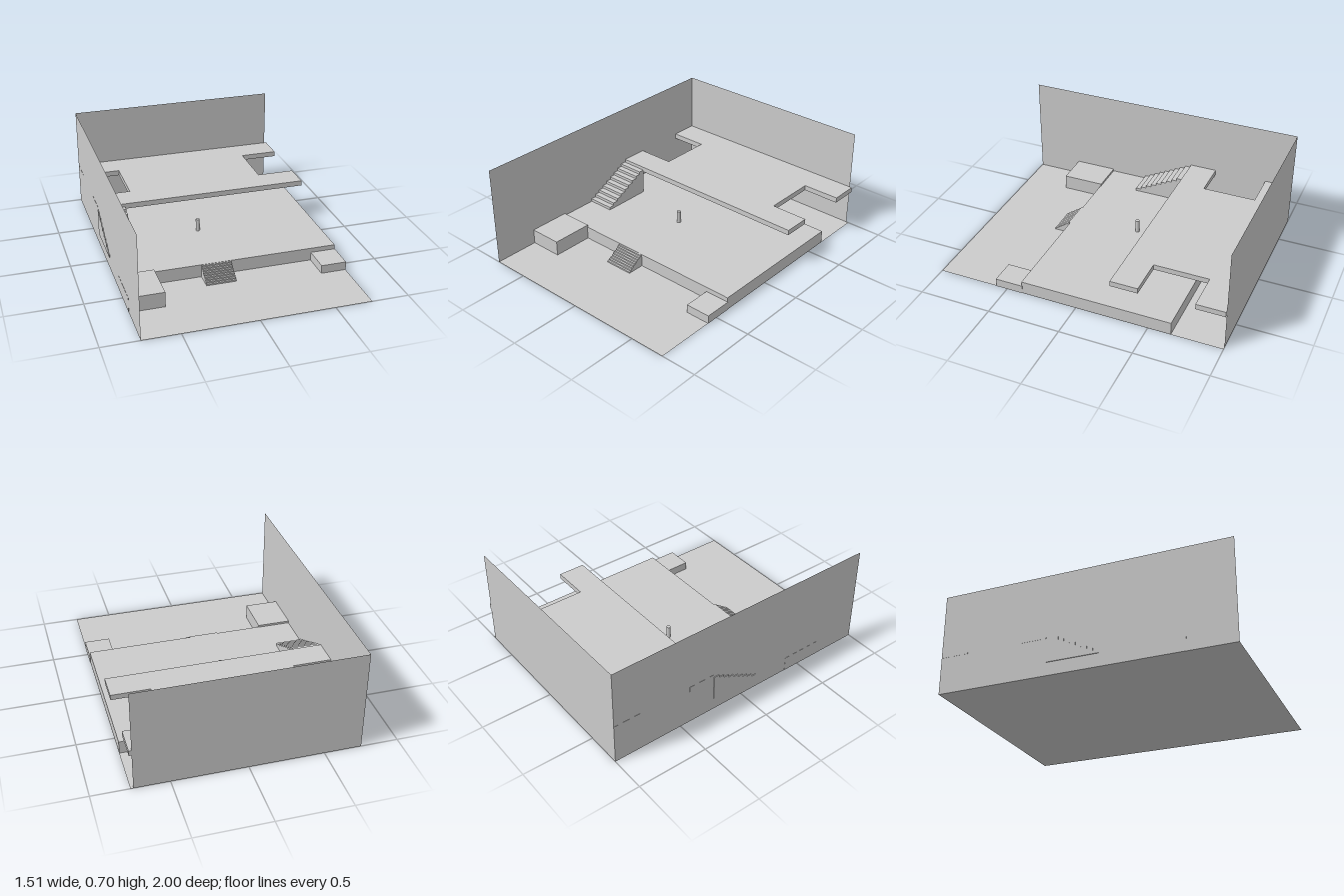
import * as THREE from 'three';

const material = new THREE.MeshStandardMaterial({ color: 0xcccccc, flatShading: true });
const sheetMaterial = new THREE.MeshStandardMaterial({ color: 0xcccccc, side: THREE.DoubleSide });

function add(group, name, geometry, mat = material) {
  const mesh = new THREE.Mesh(geometry, mat);
  mesh.name = name;
  group.add(mesh);
  return mesh;
}

// Box given by its limits on each axis
function block(group, name, [x0, x1], [y0, y1], [z0, z1]) {
  const mesh = add(group, name, new THREE.BoxGeometry(x1 - x0, y1 - y0, z1 - z0));
  mesh.position.set((x0 + x1) / 2, (y0 + y1) / 2, (z0 + z1) / 2);
}

// Solid stair rising from zLow to zHigh, its stepped profile extruded across x
function stair(group, name, [x0, x1], [y0, y1], zLow, zHigh, steps) {
  const run = (zHigh - zLow) / steps;
  const rise = (y1 - y0) / steps;
  const profile = new THREE.Shape();
  profile.moveTo(zLow, y0);
  for (let i = 0; i < steps; i++) {
    profile.lineTo(zLow + i * run, y0 + (i + 1) * rise);
    profile.lineTo(zLow + (i + 1) * run, y0 + (i + 1) * rise);
  }
  profile.lineTo(zHigh, y0);
  const geometry = new THREE.ExtrudeGeometry(profile, { depth: x1 - x0, bevelEnabled: false });
  geometry.rotateY(-Math.PI / 2).translate(x1, 0, 0);
  add(group, name, geometry);
}

export function createModel() {
  const model = new THREE.Group();
  model.name = 'courtyard';

  // Ground sheet and two thin walls
  add(model, 'floor', new THREE.PlaneGeometry(1.5, 2).rotateX(-Math.PI / 2), sheetMaterial);
  const backWall = add(model, 'backWall', new THREE.PlaneGeometry(1.482, 0.705), sheetMaterial);
  backWall.position.set(-0.009, 0.3525, -1);
  const sideWall = add(model, 'sideWall',
    new THREE.PlaneGeometry(2, 0.705).rotateY(Math.PI / 2), sheetMaterial);
  sideWall.position.set(-0.75, 0.3525, 0);

  // Low terrace with corner blocks in front
  block(model, 'terrace', [-0.749, 0.749], [0, 0.09], [-0.655, 0.39]);
  block(model, 'tallCornerBlock', [-0.751, -0.515], [0, 0.105], [0.385, 0.68]);
  block(model, 'lowCornerBlock', [0.577, 0.752], [0, 0.058], [0.385, 0.58]);

  // Upper deck with a notch in each side
  const deck = new THREE.Shape();
  [[-0.751, 0.24], [0.749, 0.24], [0.749, 0.43], [0.485, 0.43], [0.485, 0.805], [0.749, 0.805],
    [0.749, 0.999], [-0.751, 0.999], [-0.751, 0.805], [-0.485, 0.805], [-0.485, 0.43], [-0.751, 0.43]]
    .forEach(([x, back], i) => (i ? deck.lineTo(x, back) : deck.moveTo(x, back)));
  const deckGeometry = new THREE.ExtrudeGeometry(deck, { depth: 0.037, bevelEnabled: false });
  deckGeometry.rotateX(-Math.PI / 2).translate(0, 0.255, 0);
  add(model, 'upperDeck', deckGeometry);

  // Stairs: ground to terrace at front and back, terrace to deck at the side
  stair(model, 'frontStair', [-0.197, 0.008], [0, 0.088], 0.512, 0.388, 9);
  stair(model, 'backStair', [-0.197, 0.008], [0, 0.088], -0.775, -0.653, 9);
  stair(model, 'deckStair', [-0.755, -0.562], [0.09, 0.272], 0.12, -0.235, 9);

  // Small post on the terrace
  const post = add(model, 'post', new THREE.CylinderGeometry(0.014, 0.014, 0.088, 16),
    new THREE.MeshStandardMaterial({ color: 0xcccccc }));
  post.position.set(-0.082, 0.134, -0.088);

  return model;
}
